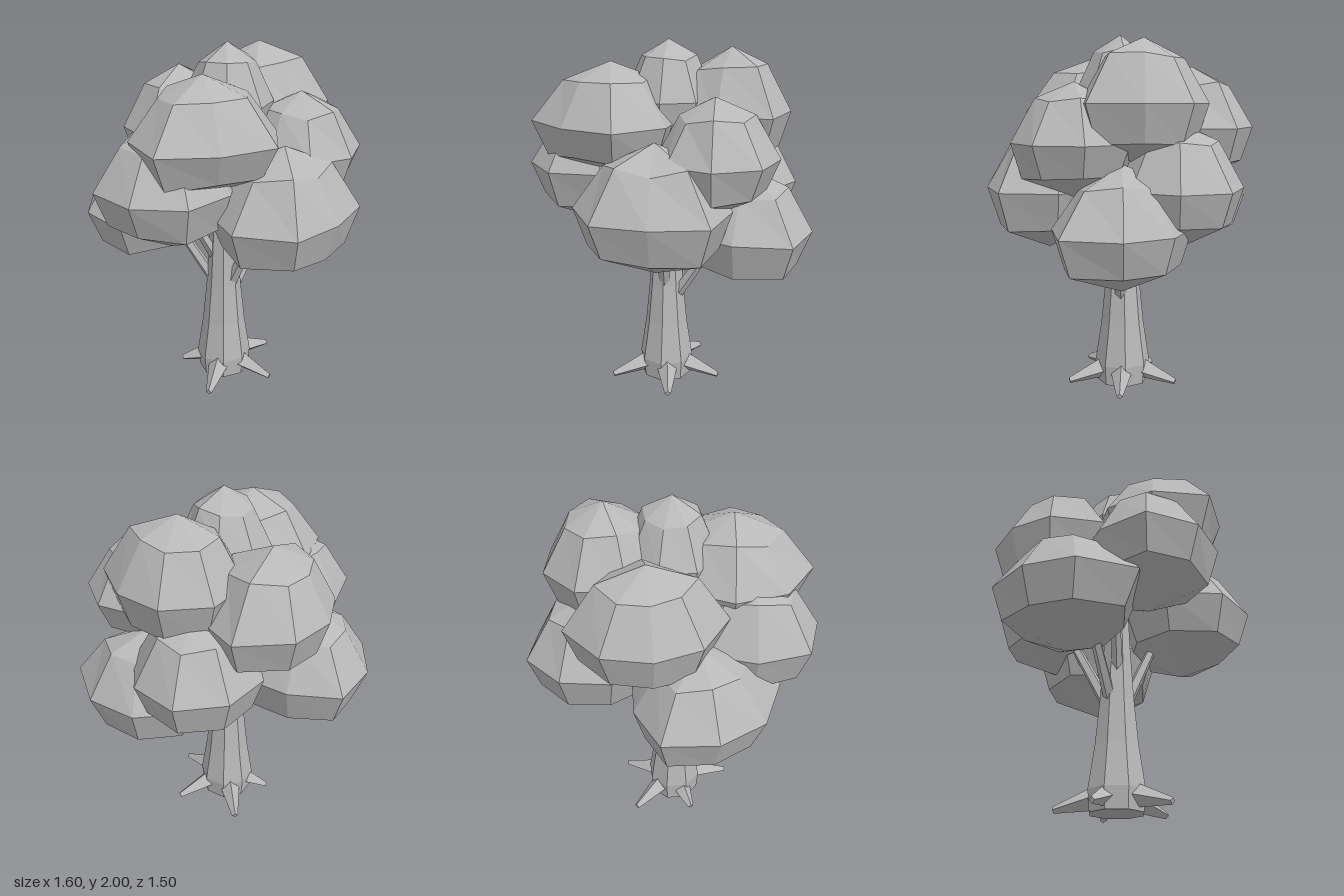
import * as THREE from 'three';

const stone = new THREE.MeshStandardMaterial({ color: 0xb8b8b8, flatShading: true });
stone.name = 'plain grey';

// small seeded random in -1..1
function makeRandom(seed) {
  let s = seed;
  return () => {
    s = (s * 16807) % 2147483647;
    return (s / 2147483647) * 2 - 1;
  };
}

// Faceted foliage clump: pole, lower ring, equator, upper ring, pole.
// radii gives the equator's reach at each corner, starting at +z and going towards +x.
function clump(height, turn, radii, seed) {
  const sides = radii.length;
  const rings = [[0, -1], [0.82, -0.57], [1, 0], [0.6, 0.68], [0, 1]];
  const geo = new THREE.LatheGeometry(rings.map(([r, y]) => new THREE.Vector2(r, y)), sides);
  const rand = makeRandom(seed * 7919 + 13);
  for (let i = 0; i < 10; i++) rand();
  const wobble = Array.from({ length: sides * rings.length }, () => [rand() * 0.03, rand() * 0.06]);
  const pos = geo.attributes.position;
  for (let i = 0; i < pos.count; i++) {
    const ring = i % rings.length;
    const side = Math.floor(i / rings.length) % sides;
    const [r, y] = rings[ring];
    const [dr, dy] = r === 0 || r === 1 ? [0, 0] : wobble[side * rings.length + ring];
    const a = (side / sides) * Math.PI * 2 + THREE.MathUtils.degToRad(turn);
    const radius = r * (1 + dr) * radii[side];
    pos.setXYZ(i, Math.sin(a) * radius, (y + dy) * height, Math.cos(a) * radius);
  }
  geo.computeVertexNormals();
  return geo;
}

// Tapered limb running between two points, one edge turned upwards
function limb(name, from, to, r0, r1, sides) {
  const a = new THREE.Vector3(...from);
  const b = new THREE.Vector3(...to);
  const dir = b.clone().sub(a);
  const geo = new THREE.CylinderGeometry(r1, r0, dir.length(), sides);
  geo.rotateY(Math.atan2(dir.x, dir.z));
  const mesh = new THREE.Mesh(geo, stone);
  mesh.name = name;
  mesh.position.copy(a).add(b).multiplyScalar(0.5);
  mesh.quaternion.setFromUnitVectors(new THREE.Vector3(0, 1, 0), dir.normalize());
  return mesh;
}

export function createModel() {
  const tree = new THREE.Group();
  tree.name = 'tree';

  // Flared eight-sided trunk
  const profile = [[0, 0.005], [0.15, 0.005], [0.16, 0.12], [0.125, 0.35], [0.1, 0.6], [0.08, 0.9], [0.06, 1.3], [0, 1.3]];
  const trunk = new THREE.Mesh(
    new THREE.LatheGeometry(profile.map(([r, y]) => new THREE.Vector2(r, y)), 8), stone);
  trunk.name = 'trunk';
  trunk.position.set(-0.03, 0, -0.03);
  trunk.rotation.y = 0.25;
  tree.add(trunk);

  // Five pointed roots
  const tips = [[0.3, -0.06], [0.12, 0.26], [-0.27, 0.21], [-0.24, -0.18], [0.05, -0.35]];
  tips.forEach(([x, z]) => {
    const start = [-0.03 + (x + 0.03) * 0.35, 0.085, -0.03 + (z + 0.03) * 0.35];
    tree.add(limb('root', start, [x, 0.03, z], 0.062, 0.018, 4));
  });

  // Branches reaching into the foliage
  const branches = [
    [[0.03, 0.52, -0.03], [0.3, 0.95, -0.06]],
    [[-0.01, 0.62, 0.03], [0.05, 1.0, 0.2]],
    [[-0.07, 0.6, -0.07], [-0.26, 0.97, -0.2]],
    [[-0.05, 0.72, -0.03], [-0.2, 1.0, -0.06]],
    [[0.0, 0.62, -0.09], [0.16, 1.05, -0.28]],
  ];
  branches.forEach(([a, b]) => tree.add(limb('branch', a, b, 0.036, 0.026, 5)));

  // Foliage: centre, half height, turn in degrees and corner radii of each clump
  const foliage = new THREE.Group();
  foliage.name = 'foliage';
  const clumps = [
    ['frontLowClump', [0.1, 1.175, 0.37], 0.35, 21, [0.34, 0.42, 0.4, 0.38, 0.38, 0.4, 0.43, 0.41]],
    ['leftLowClump', [0.43, 1.0, -0.09], 0.33, 9, [0.36, 0.43, 0.37, 0.35, 0.36, 0.38, 0.38, 0.38]],
    ['rightLowClump', [-0.35, 1.08, -0.34], 0.33, 2, [0.38, 0.38, 0.39, 0.34, 0.39, 0.35, 0.38, 0.46]],
    ['rightMiddleClump', [-0.42, 1.32, 0.08], 0.35, 34, [0.36, 0.38, 0.36, 0.36, 0.34, 0.39, 0.37, 0.38]],
    ['leftMiddleClump', [0.34, 1.43, 0.17], 0.31, 20, [0.33, 0.34, 0.34, 0.34, 0.34, 0.35, 0.3, 0.32]],
    ['backLeftClump', [0.28, 1.2, -0.36], 0.33, 6, [0.34, 0.34, 0.34, 0.36, 0.345, 0.35, 0.35, 0.35]],
    ['backClump', [-0.1, 1.5, -0.41], 0.33, 38, [0.36, 0.38, 0.41, 0.345, 0.31, 0.34, 0.41, 0.33]],
    ['rightUpperClump', [-0.26, 1.58, 0.17], 0.31, 30, [0.42, 0.39, 0.38, 0.36, 0.36, 0.38, 0.43, 0.36]],
    ['leftUpperClump', [0.29, 1.63, -0.18], 0.33, 8, [0.33, 0.4, 0.33, 0.335, 0.34, 0.33, 0.33, 0.36]],
    ['topClump', [-0.01, 1.69, -0.02], 0.31, 15, [0.25, 0.25, 0.25, 0.25, 0.25, 0.25, 0.25, 0.25]],
  ];
  clumps.forEach(([name, centre, height, turn, radii], i) => {
    const mesh = new THREE.Mesh(clump(height, turn, radii, i + 1), stone);
    mesh.name = name;
    mesh.position.set(...centre);
    foliage.add(mesh);
  });
  tree.add(foliage);

  return tree;
}
